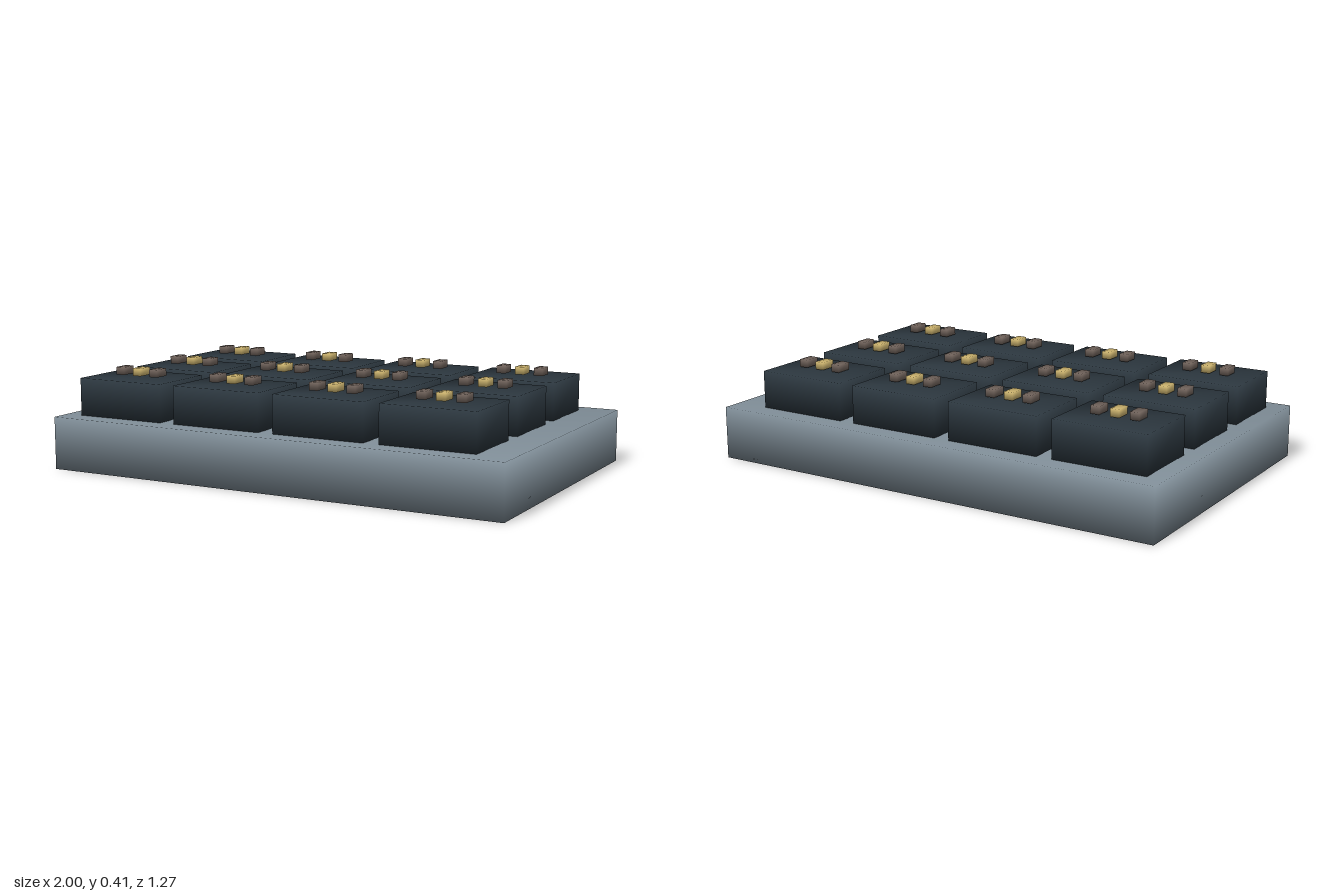
import * as THREE from 'three';
import { mergeVertices } from 'three/addons/utils/BufferGeometryUtils.js';

// Box with corners shared between faces, so the shading runs smoothly over its edges
function softBox(w, h, d) {
  const box = new THREE.BoxGeometry(w, h, d);
  box.deleteAttribute('normal');
  box.deleteAttribute('uv');
  const geometry = mergeVertices(box);
  geometry.computeVertexNormals();
  return geometry;
}

function material(name, color) {
  const m = new THREE.MeshStandardMaterial({ color });
  m.name = name;
  return m;
}

export function createModel() {
  const model = new THREE.Group();
  model.name = 'trayOfBlocks';

  const slate = material('slateGrey', 0x7f8d97);
  const dark = material('darkBlueGrey', 0x2c373f);
  const gold = material('paleGold', 0xd6bc74);
  const brown = material('greyBrown', 0x75675f);

  const add = (parent, name, geometry, mat, x, y, z) => {
    const mesh = new THREE.Mesh(geometry, mat);
    mesh.name = name;
    mesh.position.set(x, y, z);
    parent.add(mesh);
  };

  // Base slab
  add(model, 'base', softBox(2, 0.22, 1.27), slate, 0, 0.11, 0);

  // Three rows of four blocks, each with three small contacts hovering just above its top
  const blockGeometry = softBox(0.396, 0.157, 0.308);
  const contactGeometry = softBox(0.038, 0.032, 0.068);
  for (let row = -1; row <= 1; row++) {
    for (let col = 0; col < 4; col++) {
      const unit = new THREE.Group();
      unit.name = 'blockUnit';
      unit.position.set(-0.727 + col * 0.4615, 0, row * 0.397);
      add(unit, 'block', blockGeometry, dark, 0, 0.2985, 0);
      for (const side of [-1, 0, 1]) {
        add(unit, side ? 'sideContact' : 'middleContact', contactGeometry,
          side ? brown : gold, side * 0.083, 0.399, 0);
      }
      model.add(unit);
    }
  }
  return model;
}
